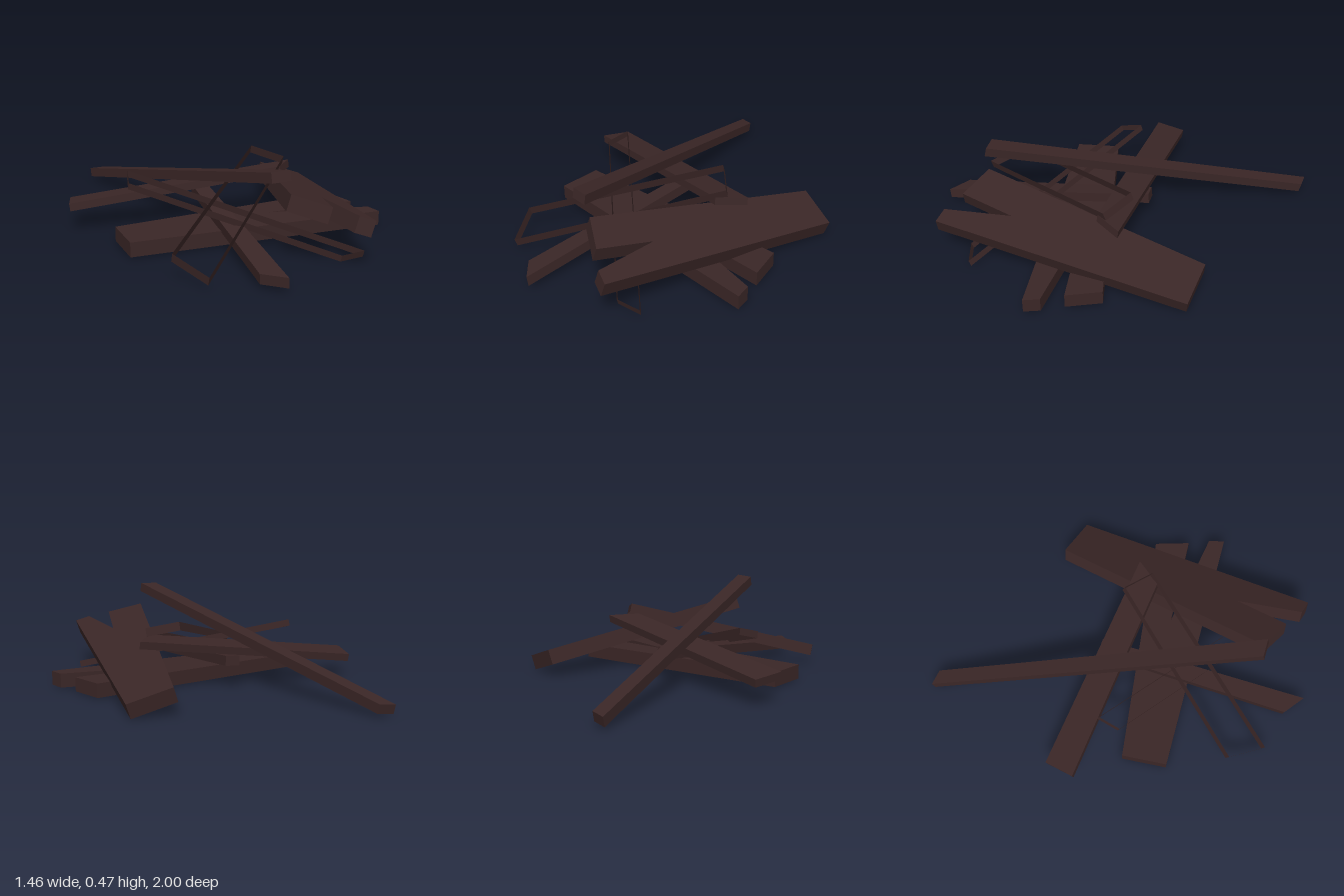
import * as THREE from 'three';

const wood = new THREE.MeshStandardMaterial({ color: 0x3a2626, side: THREE.DoubleSide });
wood.name = 'darkWood';

// Board with a top outline in [x, z], lying on the plane y = k + b*x + c*z,
// and given its thickness square to that plane. Open boards keep only their edge walls.
function board(name, outline, [k, b, c], thickness, open = false) {
  const shape = new THREE.Shape(outline.map(([x, z]) => new THREE.Vector2(x, -z)));
  let geo = new THREE.ExtrudeGeometry(shape, { depth: thickness, bevelEnabled: false });
  const normal = new THREE.Vector3(-b, 1, -c).normalize();
  const pos = geo.attributes.position;
  const v = new THREE.Vector3();
  for (let i = 0; i < pos.count; i++) {
    const x = pos.getX(i), z = -pos.getY(i);
    v.set(x, k + b * x + c * z, z).addScaledVector(normal, pos.getZ(i) - thickness);
    pos.setXYZ(i, v.x, v.y, v.z);
  }
  if (open) {
    const walls = geo.groups[1];
    const part = pos.array.slice(walls.start * 3, (walls.start + walls.count) * 3);
    geo = new THREE.BufferGeometry();
    geo.setAttribute('position', new THREE.BufferAttribute(part, 3));
  }
  geo.clearGroups();
  geo.computeVertexNormals();
  const mesh = new THREE.Mesh(geo, wood);
  mesh.name = name;
  return mesh;
}

export function createModel() {
  const group = new THREE.Group();
  group.name = 'plankPile';
  group.add(
    // long narrow beam resting on top, sloping down to the back
    board('longBeam', [[-0.24, -1], [-0.165, -0.965], [-0.075, 0.74], [-0.165, 0.715]],
      [0.306, -0.02, 0.233], 0.05),
    // slanted plank across the back
    board('backPlank', [[-0.66, -0.36], [0.415, 0.095], [0.285, 0.19], [-0.73, -0.22]],
      [0.251, 0.069, 0.156], 0.04),
    // flat plank on the ground, split at its left end
    board('groundPlank', [[-0.6, 0.03], [0.62, 0.185], [0.63, 0.37], [0.16, 0.275],
      [0.647, 0.485], [0.647, 0.57], [-0.64, 0.26]], [0.095, 0, 0], 0.075),
    // wide leaning plank, split at its front end
    board('widePlank', [[0.535, -0.32], [0.73, -0.21], [0.22, 0.995], [0.155, 0.955],
      [0.215, 0.62], [0.075, 0.865], [-0.063, 0.735]], [0.346, -0.353, -0.011], 0.08),
    // short low plank at the front
    board('frontPlank', [[-0.34, 0.88], [-0.26, 0.985], [0.003, -0.09], [-0.07, -0.115]],
      [0.185, 0.093, -0.071], 0.052),
    // two open plank frames
    board('crossFrame', [[-0.6, 0.58], [-0.53, 0.775], [0.33, 0.165], [0.225, 0.02]],
      [0.375, 0.07, -0.333], 0.045, true),
    board('slopingFrame', [[-0.46, -0.09], [-0.51, 0.015], [0.16, 0.845], [0.295, 0.85]],
      [0.298, -0.012, -0.29], 0.035, true),
  );
  return group;
}
